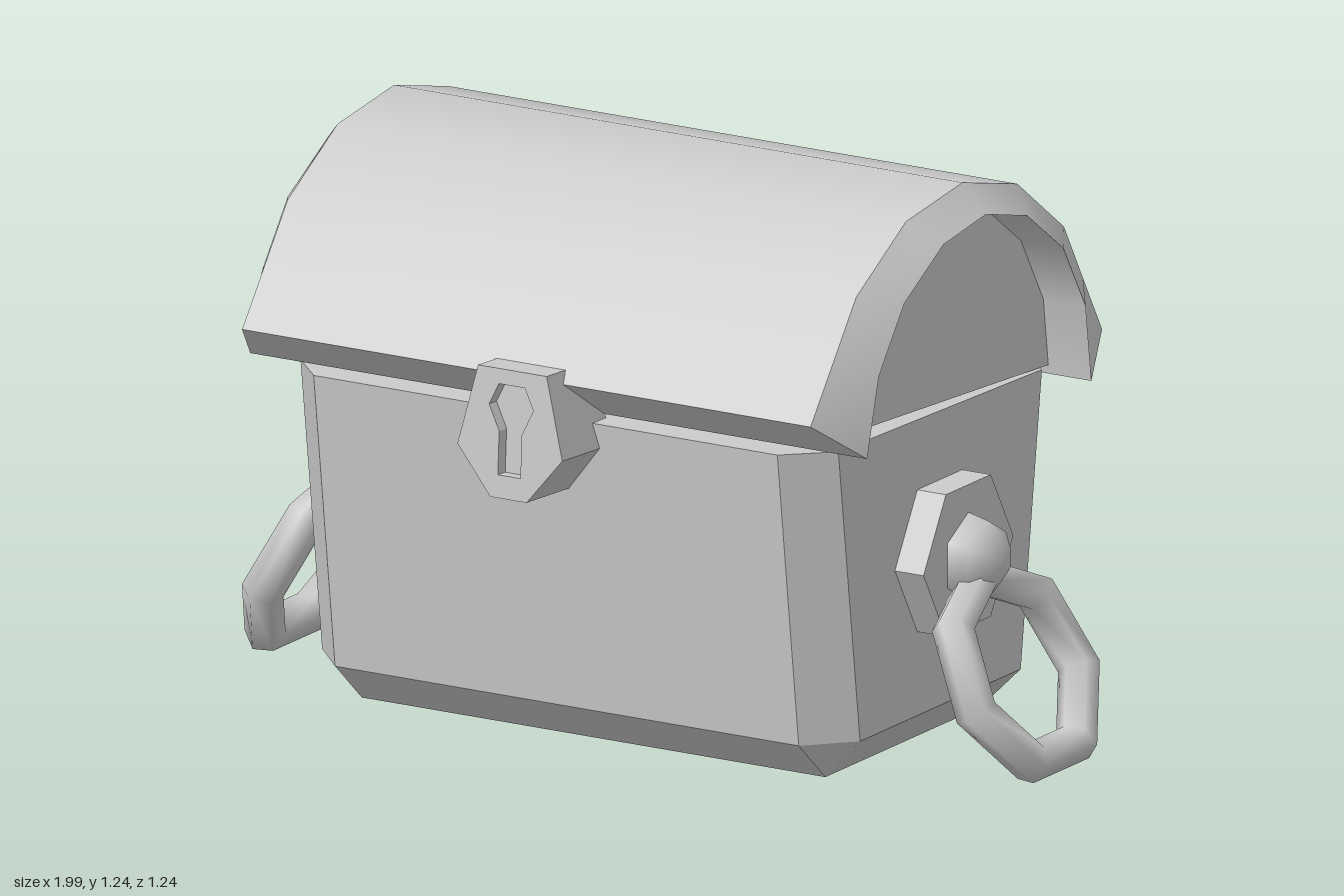
import * as THREE from 'three';
import { toCreasedNormals } from 'three/addons/utils/BufferGeometryUtils.js';

const smoothGrey = new THREE.MeshStandardMaterial({ color: 0xcccccc });
const flatGrey = new THREE.MeshStandardMaterial({ color: 0xcccccc, flatShading: true });

function part(name, geometry, material = flatGrey) {
  const mesh = new THREE.Mesh(geometry, material);
  mesh.name = name;
  return mesh;
}

// Joins closed loops of [x, y, z] points and caps both ends
function loft(sections) {
  const pos = [];
  const tri = (a, b, c) => pos.push(...a, ...b, ...c);
  const n = sections[0].length;
  for (let i = 0; i < sections.length - 1; i++) {
    const a = sections[i], b = sections[i + 1];
    for (let j = 0; j < n; j++) {
      const k = (j + 1) % n;
      tri(a[j], a[k], b[k]);
      tri(a[j], b[k], b[j]);
    }
  }
  const first = sections[0], last = sections[sections.length - 1];
  for (let j = 1; j < n - 1; j++) {
    tri(first[0], first[j + 1], first[j]);
    tri(last[0], last[j], last[j + 1]);
  }
  const g = new THREE.BufferGeometry();
  g.setAttribute('position', new THREE.Float32BufferAttribute(pos, 3));
  g.computeVertexNormals();
  return g;
}

// Rectangle with cut corners: x half sizes, front and back z (outer and inner)
function octagon(x, xi, zf, zfi, zb, zbi, yAt) {
  return [[x, zfi], [x, zbi], [xi, zb], [-xi, zb], [-x, zbi], [-x, zfi], [-xi, zf], [xi, zf]]
    .map(([px, pz]) => [px, yAt(pz), pz]);
}

function createBody() {
  return part('chestBody', loft([
    octagon(0.575, 0.575, 0.28, 0.28, -0.34, -0.34, () => 0.01),
    octagon(0.667, 0.575, 0.387, 0.29, -0.45, -0.355, () => 0.105),
    octagon(0.667, 0.575, 0.473, 0.377, -0.532, -0.44, (z) => 0.753 + 0.025 * z),
  ]));
}

function createLid() {
  const lid = new THREE.Group();
  lid.name = 'lid';
  // Arch profiles as [z, y], from front to back
  const outer = [[0.55, 0.865], [0.458, 0.985], [0.367, 1.105], [0.167, 1.222], [-0.06, 1.252],
    [-0.28, 1.195], [-0.467, 1.055], [-0.543, 0.924], [-0.62, 0.792]];
  const inner = [[0.42, 0.772], [0.373, 0.942], [0.27, 1.078], [0.113, 1.168], [-0.057, 1.192],
    [-0.223, 1.148], [-0.367, 1.042], [-0.457, 0.892], [-0.48, 0.722]];

  // Thick arched shell, bevelled towards both ends
  const shell = loft(outer.map(([oz, oy], i) => {
    const [iz, iy] = inner[i];
    return [[-0.765, iy, iz], [-0.705, oy, oz], [0.705, oy, oz], [0.765, iy, iz]];
  }));
  lid.add(part('lidShell', toCreasedNormals(shell, 0.6), smoothGrey));

  // Filled core whose ends sit back inside the shell
  const core = [[0.414, 0.792], ...inner.slice(1, -1), [-0.477, 0.742]].reverse();
  lid.add(part('lidCore', loft([-0.66, 0.66].map((x) => core.map(([z, y]) => [x, y, z])))));
  return lid;
}

function createLock() {
  const lock = new THREE.Group();
  lock.name = 'lock';
  const mirrored = (half) => [...half, ...half.map(([x, y]) => [-x, y]).reverse()]
    .map(([x, y]) => new THREE.Vector2(x, y));
  const outline = mirrored([[0.045, -0.14], [0.13, -0.037], [0.085, 0.14]]);
  const keyhole = mirrored([[0.028, -0.09], [0.028, 0.005], [0.055, 0.06], [0.032, 0.107]]);

  const extrude = (shape, depth) => new THREE.ExtrudeGeometry(shape, { depth, bevelEnabled: false });
  const block = part('lockBlock', extrude(new THREE.Shape(outline), 0.165));
  block.position.z = 0.42;
  const faceShape = new THREE.Shape(outline);
  faceShape.holes.push(new THREE.Path(keyhole));
  const face = part('keyholePlate', extrude(faceShape, 0.03));
  face.position.z = 0.585;
  lock.add(block, face);
  lock.position.y = 0.72;
  lock.rotation.x = -0.058;
  return lock;
}

// Mount, knob and hanging ring, facing +x
function createHandle(name) {
  const handle = new THREE.Group();
  handle.name = name;

  const plate = part('handlePlate', new THREE.CylinderGeometry(0.18, 0.18, 0.09, 6).rotateZ(Math.PI / 2));
  plate.position.set(0.693, 0.445, 0);

  const profile = [[0.098, 0], [0.086, 0.05], [0.045, 0.082], [0, 0.088]]
    .map(([r, h]) => new THREE.Vector2(r, h));
  const knob = part('handleKnob',
    new THREE.LatheGeometry(profile, 6).rotateY(Math.PI / 2).rotateZ(-Math.PI / 2), smoothGrey);
  knob.position.set(0.736, 0.443, 0);

  const ring = part('handleRing', new THREE.TorusGeometry(0.212, 0.046, 6, 7)
    .rotateZ(Math.PI / 2).rotateY(Math.PI / 2).rotateZ(0.47), smoothGrey);
  ring.position.set(0.863, 0.215, 0);

  handle.add(plate, knob, ring);
  handle.position.z = -0.03;
  return handle;
}

export function createModel() {
  const model = new THREE.Group();
  model.name = 'chest';
  const rightHandle = createHandle('rightHandle');
  rightHandle.rotation.y = Math.PI;
  model.add(createBody(), createLid(), createLock(), createHandle('leftHandle'), rightHandle);
  return model;
}
